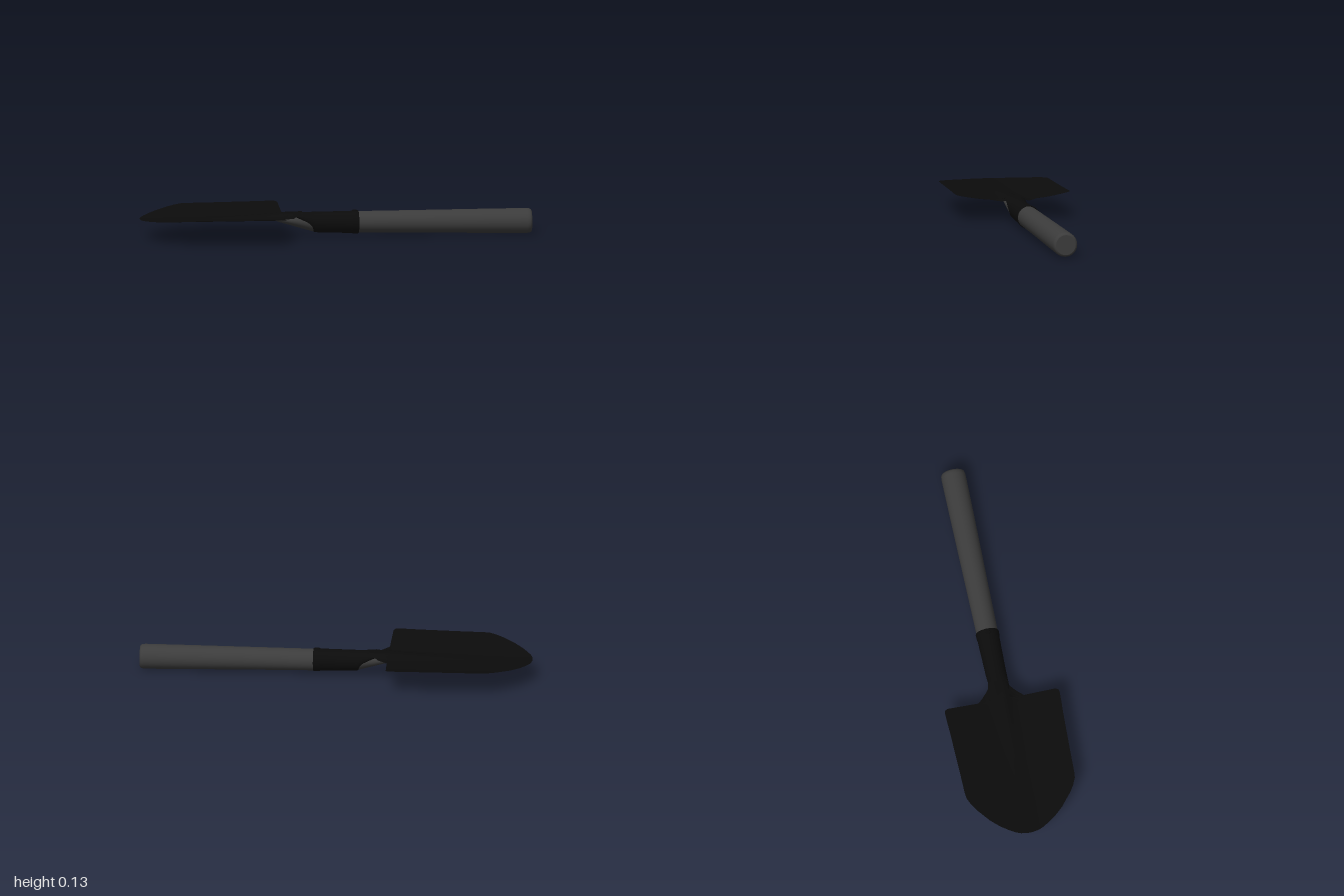
import * as THREE from 'three';

const metal = new THREE.MeshStandardMaterial({ color: 0x0b0b0b, side: THREE.DoubleSide });
const grip = new THREE.MeshStandardMaterial({ color: 0x3c3c3c });
const AXIS_Z = 0.004;

function surface(positions, index) {
  const geometry = new THREE.BufferGeometry();
  geometry.setAttribute('position', new THREE.Float32BufferAttribute(positions, 3));
  geometry.setIndex(index);
  geometry.computeVertexNormals();
  return geometry;
}

// Skin over elliptical sections along x, each [x, bottom, top, halfWidth]
function loft(sections, sides = 32) {
  const positions = [], index = [];
  sections.forEach(([x, bottom, top, half], i) => {
    for (let j = 0; j < sides; j++) {
      const a = (j / sides) * Math.PI * 2;
      positions.push(x, (bottom + top) / 2 + Math.sin(a) * (top - bottom) / 2, AXIS_Z + Math.cos(a) * half);
      if (i === sections.length - 1) continue;
      const p = i * sides + j, q = i * sides + (j + 1) % sides;
      index.push(p, p + sides, q, q, p + sides, q + sides);
    }
  });
  return surface(positions, index);
}

// Linear interpolation through [x, value] points
function sample(points, x) {
  for (let i = 1; i < points.length; i++) {
    const [x0, v0] = points[i - 1], [x1, v1] = points[i];
    if (x <= x1) return v0 + (v1 - v0) * (x - x0) / (x1 - x0);
  }
  return points[points.length - 1][1];
}

// Dished sheet with a central ridge swelling towards the neck
function bladeGeometry() {
  const outline = [
    [-1, 0.012], [-0.995, 0.045], [-0.985, 0.07], [-0.968, 0.1], [-0.94, 0.142], [-0.9, 0.187],
    [-0.834, 0.243], [-0.8, 0.265], [-0.765, 0.281], [-0.74, 0.284], [-0.6, 0.287], [-0.5, 0.29],
    [-0.4, 0.293], [-0.34, 0.296], [-0.295, 0.297], [-0.28, 0.293], [-0.272, 0.28],
    [-0.268, 0.2], [-0.266, 0.118], [-0.245, 0.095], [-0.22, 0.072], [-0.2, 0.055], [-0.17, 0.05],
  ];
  const ridge = [[-1, 0], [-0.62, 0], [-0.34, 0.016], [-0.25, 0.023], [-0.17, 0.024]];
  const columns = 40, positions = [], index = [];
  outline.forEach(([x, half], i) => {
    const height = sample(ridge, x);
    const foot = 0.03 + 0.04 * height / 0.024;
    for (let j = 0; j <= columns; j++) {
      const u = (j / columns) * 2 - 1;
      const z = half * Math.sign(u) * Math.abs(u) ** 1.5;
      const rise = THREE.MathUtils.clamp((foot - Math.abs(z)) / (foot * 0.65), 0, 1);
      positions.push(x, 0.101 + 0.385 * z * z + height * rise, z);
      if (i === outline.length - 1 || j === columns) continue;
      const p = i * (columns + 1) + j, q = p + columns + 1;
      index.push(p, p + 1, q, q, p + 1, q + 1);
    }
  });
  return surface(positions, index);
}

export function createModel() {
  const group = new THREE.Group();
  const add = (name, geometry, material) => {
    const mesh = new THREE.Mesh(geometry, material);
    mesh.name = name;
    group.add(mesh);
    return mesh;
  };

  add('blade', bladeGeometry(), metal);

  // Socket, open underneath where it meets the blade
  add('socket', loft([
    [-0.22, 0.1, 0.124, 0.045], [-0.2, 0.096, 0.125, 0.05], [-0.15, 0.054, 0.125, 0.052],
    [-0.11, 0.021, 0.125, 0.053], [0, 0.017, 0.126, 0.055], [0.08, 0.014, 0.127, 0.057],
    [0.085, 0.012, 0.13, 0.059], [0.112, 0.011, 0.13, 0.06], [0.116, 0.014, 0.128, 0.057],
  ]), metal);

  // Tapered end of the handle showing under the neck
  add('handleTip', loft([
    [-0.345, 0.1, 0.101, 0.03], [-0.31, 0.084, 0.108, 0.04], [-0.28, 0.074, 0.114, 0.045],
    [-0.2, 0.05, 0.12, 0.05], [-0.1, 0.02, 0.122, 0.05],
  ]), grip);

  // Handle with a softly rounded butt
  add('handle', loft([
    [0.1, 0.015, 0.125, 0.055], [0.5, 0.009, 0.126, 0.059], [0.8, 0.003, 0.127, 0.062],
    [0.975, 0, 0.127, 0.063], [0.99, 0.002, 0.125, 0.061], [0.997, 0.006, 0.121, 0.057],
    [1, 0.012, 0.115, 0.051],
  ]), grip);
  add('handleEnd', loft([[1, 0.012, 0.115, 0.051], [1, 0.0635, 0.0635, 0]]), grip);

  const rivet = add('rivet', new THREE.CylinderGeometry(0.011, 0.014, 0.008, 16), metal);
  rivet.position.set(0.096, 0.129, AXIS_Z);

  return group;
}
